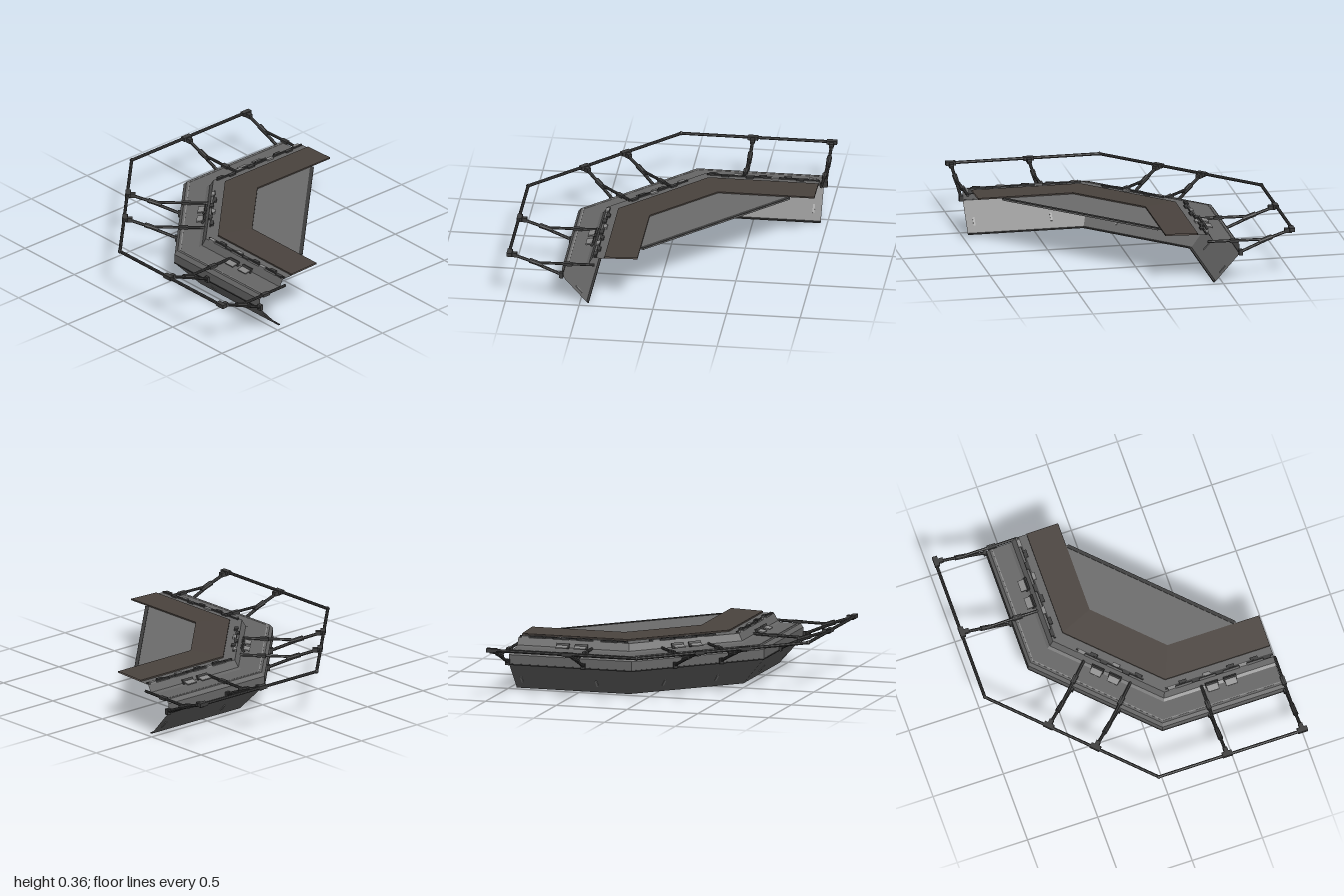
import * as THREE from 'three';

const mat = (color) => new THREE.MeshStandardMaterial({ color, flatShading: true, side: THREE.DoubleSide });
const hullMat = mat(0x666666), roofMat = mat(0x4a433e), panelMat = mat(0x6c6c6c);
const railMat = mat(0x3c3c3c), trimMat = mat(0x8a8a8a);

const END = 0.955;
// The four mitred stations of the L-shaped run, u is the outward offset
const corner = (u) => 0.4142 * u - 0.347;
const station = [
  (u, y) => [-u, y, -END],
  (u, y) => [-u, y, corner(u)],
  (u, y) => [-corner(u), y, u],
  (u, y) => [END, y, u],
];

// Sweep a [u, y] profile through the stations
function sweep(name, profile, material) {
  const pos = [];
  for (let i = 0; i < 3; i++) {
    for (let j = 0; j < profile.length - 1; j++) {
      const a = station[i](...profile[j]), b = station[i + 1](...profile[j]);
      const c = station[i + 1](...profile[j + 1]), d = station[i](...profile[j + 1]);
      pos.push(...a, ...b, ...c, ...a, ...c, ...d);
    }
  }
  const g = new THREE.BufferGeometry();
  g.setAttribute('position', new THREE.Float32BufferAttribute(pos, 3));
  g.computeVertexNormals();
  const m = new THREE.Mesh(g, material);
  m.name = name;
  return m;
}

function box(parent, name, size, at, material, tilt = 0) {
  const m = new THREE.Mesh(new THREE.BoxGeometry(...size), material);
  m.name = name;
  m.position.set(...at);
  m.rotation.x = tilt;
  parent.add(m);
}

function bar(parent, name, a, b, r, r2 = r) {
  const p = new THREE.Vector3(...a), q = new THREE.Vector3(...b);
  const d = q.clone().sub(p);
  const m = new THREE.Mesh(new THREE.CylinderGeometry(r2, r, d.length(), 8), railMat);
  m.name = name;
  m.position.copy(p).add(q).multiplyScalar(0.5);
  m.quaternion.setFromUnitVectors(new THREE.Vector3(0, 1, 0), d.normalize());
  parent.add(m);
}

// Railing support: folding strut, knuckle, brace and wall bracket (outward is +z)
function post(parent, s) {
  const g = new THREE.Group();
  g.name = 'railPost';
  g.position.x = s;
  bar(g, 'outerStrut', [0, 0.345, 0.98], [0, 0.285, 0.8], 0.011);
  bar(g, 'innerStrut', [0, 0.285, 0.8], [0, 0.292, 0.4], 0.01);
  bar(g, 'brace', [0, 0.28, 0.8], [0, 0.205, 0.62], 0.011);
  bar(g, 'knuckle', [0, 0.3, 0.84], [0, 0.27, 0.75], 0.018, 0.016);
  box(g, 'railJoint', [0.07, 0.026, 0.035], [0, 0.347, 0.975], railMat);
  box(g, 'jointNeck', [0.03, 0.03, 0.05], [0, 0.338, 0.95], railMat);
  box(g, 'wallBracket', [0.03, 0.04, 0.025], [0, 0.205, 0.625], railMat);
  box(g, 'deckBracket', [0.03, 0.02, 0.06], [0, 0.288, 0.58], railMat);
  parent.add(g);
}

// Small fittings along one arm; sign turns the local run direction
function fittings(name, angle, shift, from, to, posts, hatches, slots) {
  const arm = new THREE.Group();
  arm.name = name;
  arm.rotation.y = angle;
  const inner = new THREE.Group();
  inner.name = name + 'Fittings';
  inner.position.z = shift;
  arm.add(inner);
  posts.forEach((s) => post(inner, s));
  for (const s of hatches) {
    box(inner, 'hatchFrame', [0.09, 0.035, 0.014], [s, 0.303, 0.45], railMat, -0.5);
    box(inner, 'hatchFlap', [0.08, 0.008, 0.045], [s, 0.3, 0.475], trimMat, 0.2);
  }
  // Hinge line beside the roof
  const n = Math.round((to - from) / 0.085), step = (to - from) / n;
  for (let i = 0; i < n; i++) {
    const s = from + (i + 0.5) * step;
    box(inner, 'hinge', [step * 0.62, 0.012, 0.022], [s, 0.344, i % 2 ? 0.385 : 0.405], i % 3 ? railMat : trimMat);
  }
  box(inner, 'hingeRail', [to - from, 0.012, 0.012], [(from + to) / 2, 0.342, 0.395], railMat);
  for (const s of slots) {
    box(inner, 'slopeLatch', [0.014, 0.06, 0.008], [s, 0.07, 0.513], trimMat, Math.atan2(0.17, 0.19));
  }
  return arm;
}

export function createModel() {
  const model = new THREE.Group();
  model.name = 'corneredShell';

  // Outer wall, deck and upper wall
  model.add(sweep('outerWall', [[0.45, 0], [0.62, 0.19], [0.62, 0.255], [0.6, 0.28], [0.46, 0.28]], hullMat));
  model.add(sweep('upperWall', [[0.46, 0.28], [0.44, 0.29], [0.415, 0.338], [0.33, 0.34]], hullMat));
  model.add(sweep('bottomLip', [[0.45, 0], [0.44, 0], [0.44, 0.008], [0.455, 0.008]], railMat));
  model.add(sweep('wallSeam', [[0.617, 0.183], [0.623, 0.188], [0.623, 0.194], [0.617, 0.194]], railMat));
  model.add(sweep('deckTrim', [[0.585, 0.281], [0.585, 0.283], [0.578, 0.283], [0.578, 0.281]], trimMat));

  // Roof slabs, with end caps
  const roofProfile = [[0.335, 0.34], [0.335, 0.35], [0.11, 0.357], [0.11, 0.347], [0.335, 0.34]];
  model.add(sweep('roof', roofProfile, roofMat));

  // Inner panel across the corner, with its edge strip
  const shape = new THREE.Shape();
  [[-0.12, -0.79], [-0.09, -0.79], [0.79, 0.09], [0.79, 0.12], [0.3, 0.12], [-0.12, -0.3]]
    .forEach(([x, z], i) => (i ? shape.lineTo(x, z) : shape.moveTo(x, z)));
  const panelGeo = new THREE.ExtrudeGeometry(shape, { depth: 0.008, bevelEnabled: false });
  panelGeo.rotateX(Math.PI / 2);
  const panel = new THREE.Mesh(panelGeo, panelMat);
  panel.name = 'innerPanel';
  panel.position.y = 0.348;
  model.add(panel);
  const edge = new THREE.Group();
  edge.name = 'panelEdge';
  edge.rotation.y = -Math.PI / 4;
  box(edge, 'panelEdgeStrip', [1.25, 0.014, 0.024], [0, 0.345, -0.482], railMat);
  model.add(edge);

  // Railing following the outer wall
  const rail = new THREE.Group();
  rail.name = 'railing';
  for (let i = 0; i < 3; i++) {
    bar(rail, 'railBar', station[i](0.98, 0.347), station[i + 1](0.98, 0.347), 0.011);
  }
  for (const i of [1, 2]) {
    const elbow = new THREE.Mesh(new THREE.SphereGeometry(0.014, 8, 6), railMat);
    elbow.name = 'railElbow';
    elbow.position.set(...station[i](0.98, 0.347));
    rail.add(elbow);
  }
  model.add(rail);

  // Fittings on the two straight arms and the diagonal between them
  model.add(fittings('rightArm', -Math.PI / 2, 0, -0.95, -0.19, [-0.965, -0.43], [-0.63, -0.5], [-0.9, -0.37]));
  model.add(fittings('middleArm', -Math.PI / 4, -0.245, -0.25, 0.25, [-0.175, 0.175], [-0.065, 0.065], [-0.2, 0.2]));
  model.add(fittings('leftArm', 0, 0, 0.19, 0.95, [0.43, 0.965], [0.5, 0.63], [0.37, 0.9]));
  return model;
}
